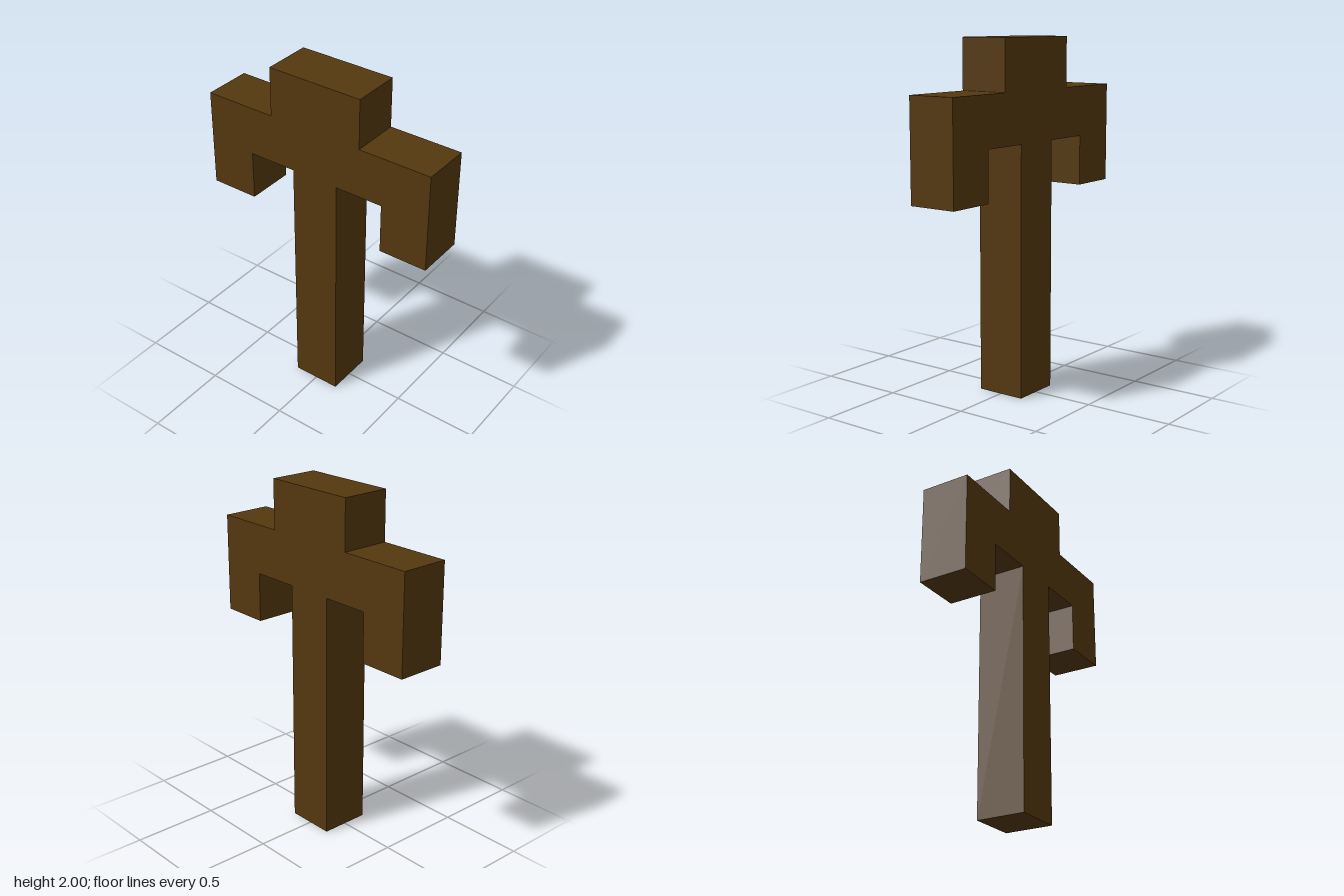
import * as THREE from 'three';

export function createModel() {
  const group = new THREE.Group();
  group.name = 'woodenPick';
  const wood = new THREE.MeshStandardMaterial({ color: 0x54380f });
  wood.name = 'dark brown wood';

  const u = 1 / 7; // block grid step

  // Half of the side outline: handle, underside of arm, drooping tip, arm top, raised crown
  const half = [[1, 0], [1, 10], [3, 10], [3, 8], [5, 8], [5, 12], [2, 12], [2, 14]];
  const mirrored = half.map(([z, y]) => [-z, y]).reverse();
  const outline = [...half, ...mirrored].map(([z, y]) => new THREE.Vector2(z * u, y * u));

  // One solid block-shaped body, two steps thick along x
  const geometry = new THREE.ExtrudeGeometry(new THREE.Shape(outline), { depth: 2 * u, bevelEnabled: false });
  geometry.translate(0, 0, -u);
  geometry.rotateY(-Math.PI / 2);

  const body = new THREE.Mesh(geometry, wood);
  body.name = 'handleAndHead';
  group.add(body);
  return group;
}
